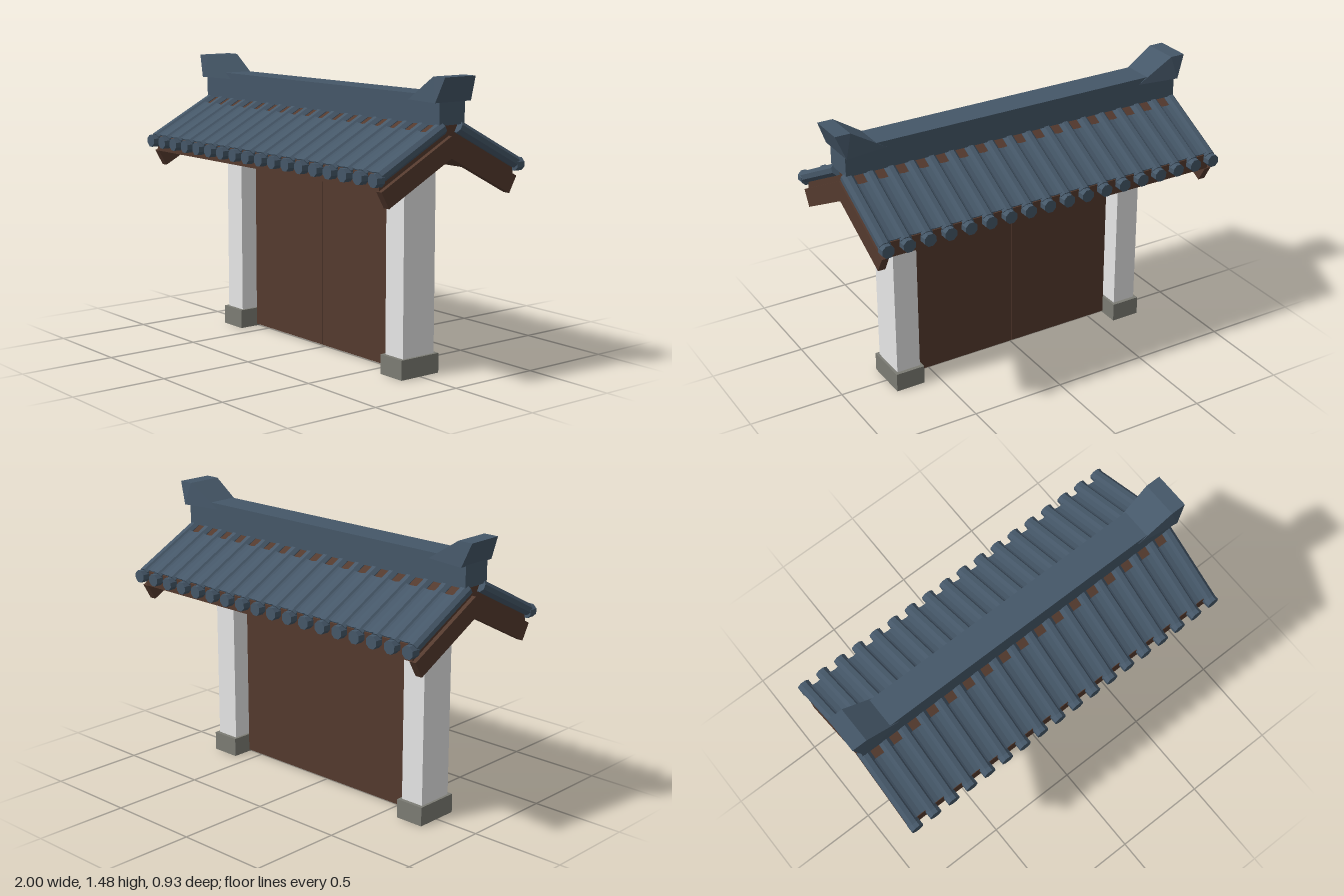
import * as THREE from 'three';
import { ConvexGeometry } from 'three/addons/geometries/ConvexGeometry.js';

const mat = (name, color) => {
  const m = new THREE.MeshStandardMaterial({ color, flatShading: true });
  m.name = name;
  return m;
};

export function createModel() {
  const wood = mat('dark wood', 0x543a2e);
  const plaster = mat('white plaster', 0xfcfcfc);
  const stone = mat('grey stone', 0x7c7c74);
  const tile = mat('blue grey tile', 0x455768);

  const model = new THREE.Group();
  model.name = 'tiledGate';
  const body = new THREE.Group();
  body.name = 'gateBody';
  body.position.x = -0.004;
  model.add(body);

  const add = (parent, name, geo, material, x = 0, y = 0, z = 0) => {
    const mesh = new THREE.Mesh(geo, material);
    mesh.name = name;
    mesh.position.set(x, y, z);
    parent.add(mesh);
    return mesh;
  };
  const box = (name, material, w, h, d, x, y, z = 0) =>
    add(body, name, new THREE.BoxGeometry(w, h, d), material, x, y, z);

  // Posts on stone feet, with the two door leaves between them
  for (const s of [-1, 1]) {
    box('footStone', stone, 0.158, 0.1, 0.24, s * 0.669, 0.05);
    box('post', plaster, 0.13, 1.04, 0.2, s * 0.669, 0.62);
    box('doorLeaf', wood, 0.588, 1.1, 0.03, s * 0.295, 0.56);
  }

  // Gabled pieces: a chevron profile in z and y, extruded along x
  const chevron = (name, points, width, x) => {
    const mirrored = points.slice(1, -1).map(([z, y]) => [-z, y]).reverse();
    const shape = new THREE.Shape([...points, ...mirrored].map(p => new THREE.Vector2(...p)));
    const geo = new THREE.ExtrudeGeometry(shape, { depth: width, bevelEnabled: false });
    geo.translate(0, 0, -width / 2).rotateY(Math.PI / 2);
    add(body, name, geo, wood, x);
  };
  chevron('roofDeck', [[0, 1.196], [0.425, 0.976], [0.425, 1.055], [0, 1.276]], 1.86, 0);
  for (const s of [-1, 1])
    chevron('bargeboard', [[0, 1.094], [0.382, 0.895], [0.428, 0.976], [0, 1.2]], 0.038, s * 0.933);

  // Tile shapes, laid along z
  const count = 18, pitch = 0.11;
  const barrelGeo = new THREE.CylinderGeometry(0.032, 0.032, 0.43, 8).rotateY(Math.PI / 8).rotateX(Math.PI / 2);
  const capGeo = new THREE.CylinderGeometry(0.034, 0.034, 0.046, 8).rotateY(Math.PI / 8).rotateX(Math.PI / 2);
  const panShape = new THREE.Shape();
  panShape.moveTo(-0.05, -0.015);
  panShape.lineTo(0.05, -0.015);
  panShape.lineTo(0.05, 0.018);
  panShape.quadraticCurveTo(0, -0.01, -0.05, 0.018);
  const panGeo = new THREE.ExtrudeGeometry(panShape, { depth: 0.345, bevelEnabled: false, curveSegments: 4 });

  // Both roof slopes; each is tilted about the ridge line
  for (const turn of [0, Math.PI]) {
    const side = new THREE.Group();
    side.name = turn ? 'backTiles' : 'frontTiles';
    side.rotation.y = turn;
    body.add(side);
    const slope = new THREE.Group();
    slope.name = 'slope';
    slope.position.y = 1.277;
    slope.rotation.x = Math.atan(0.52);
    side.add(slope);
    for (let i = 0; i < count; i++) {
      const x = (i - (count - 1) / 2) * pitch;
      add(slope, 'barrelTile', barrelGeo, tile, x, -0.01, 0.275);
      add(side, 'eaveCap', capGeo, tile, x, 1.031, 0.444);
      if (i < count - 1) add(slope, 'panTile', panGeo, tile, x + pitch / 2, 0, 0.13);
    }
  }

  // Ridge with flared ends
  box('ridge', tile, 1.902, 0.14, 0.16, 0, 1.322);
  for (const s of [-1, 1]) {
    const corners = [];
    for (const [x, y, z] of [[0.953, 1.36, 0.113], [0.73, 1.36, 0.081], [1, 1.48, 0.096], [0.92, 1.48, 0.096]])
      for (const k of [-1, 1]) corners.push(new THREE.Vector3(s * x, y, k * z));
    add(model, 'ridgeEnd', new ConvexGeometry(corners), tile);
  }

  return model;
}
